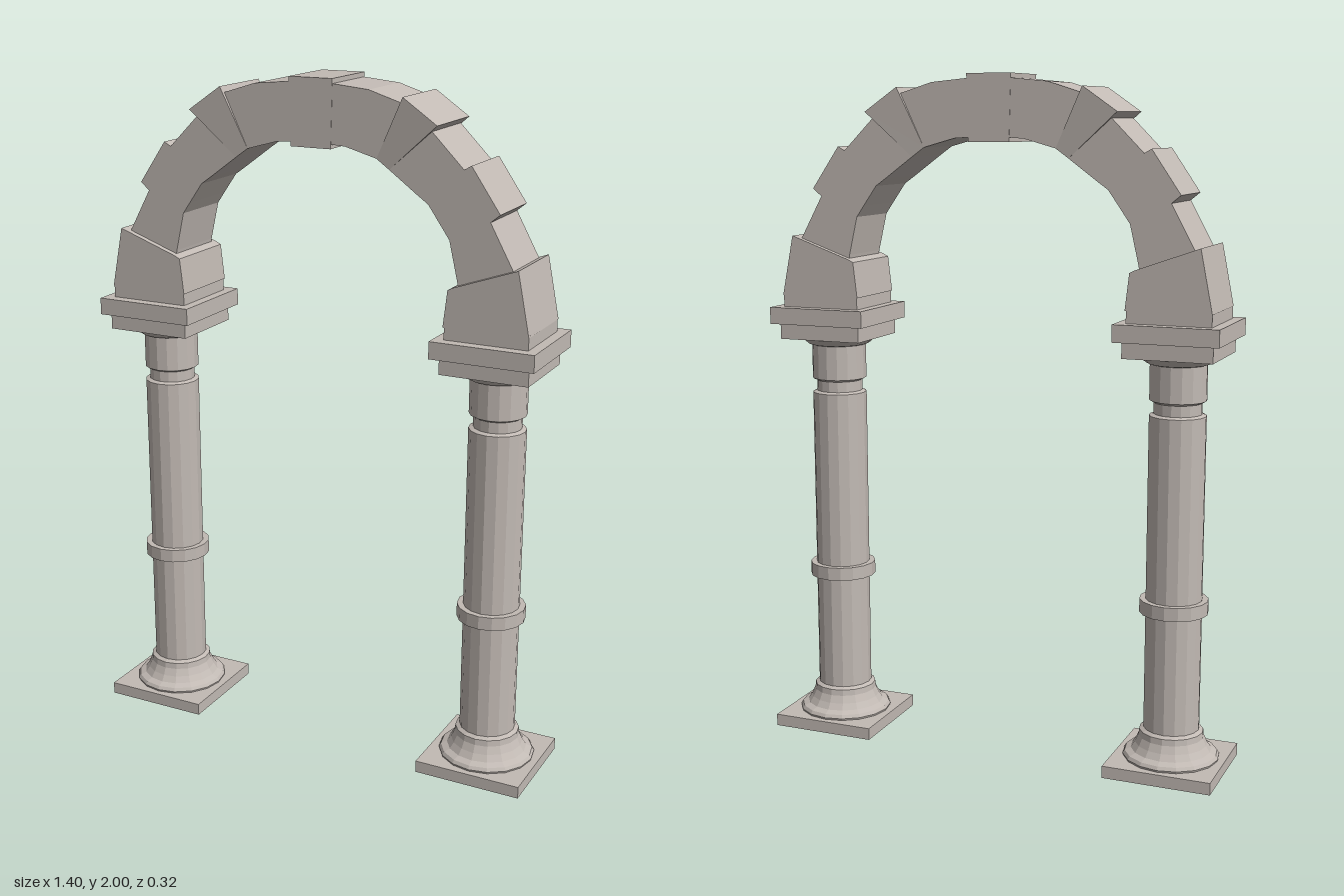
import * as THREE from 'three';

const stone = new THREE.MeshStandardMaterial({ color: 0xc2bab4, flatShading: true });
stone.name = 'paleStone';

const COLUMN_X = 0.537;

function add(parent, name, geometry, x = 0, y = 0) {
  const mesh = new THREE.Mesh(geometry, stone);
  mesh.name = name;
  mesh.position.set(x, y, 0);
  parent.add(mesh);
  return mesh;
}

// Prism with an outline in x and y, centred on z = 0; side mirrors x
function prism(points, side, halfDepth) {
  const shape = new THREE.Shape(points.map(([x, y]) => new THREE.Vector2(x * side, y)));
  const geometry = new THREE.ExtrudeGeometry(shape, { depth: halfDepth * 2, bevelEnabled: false });
  return geometry.translate(0, 0, -halfDepth);
}

function slab(parent, name, width, depth, y0, y1) {
  add(parent, name, new THREE.BoxGeometry(width, y1 - y0, depth), 0, (y0 + y1) / 2);
}

// Turned profile: foot moulding, shaft, neck groove and flared top
const columnProfile = [
  [0, 0.03], [0.138, 0.03], [0.142, 0.042], [0.136, 0.052], [0.118, 0.06], [0.106, 0.078],
  [0.096, 0.1], [0.094, 0.118], [0.082, 0.125], [0.082, 1.053], [0.069, 1.058], [0.069, 1.09],
  [0.082, 1.097], [0.082, 1.2], [0.092, 1.203], [0.118, 1.225], [0, 1.225],
].map(([r, y]) => new THREE.Vector2(r, y));

const ringProfile = [[0.078, 0.475], [0.1, 0.475], [0.1, 0.515], [0.078, 0.515]]
  .map(([r, y]) => new THREE.Vector2(r, y));

function makeColumn(side) {
  const column = new THREE.Group();
  column.name = side > 0 ? 'leftColumn' : 'rightColumn';
  column.position.x = COLUMN_X * side;
  slab(column, 'plinth', 0.322, 0.316, 0, 0.036);
  add(column, 'shaft', new THREE.LatheGeometry(columnProfile, 16));
  add(column, 'shaftRing', new THREE.LatheGeometry(ringProfile, 16));
  slab(column, 'lowerCapital', 0.26, 0.25, 1.223, 1.272);
  slab(column, 'upperCapital', 0.304, 0.295, 1.27, 1.32);
  slab(column, 'impostFoot', 0.244, 0.228, 1.315, 1.36);
  return column;
}

// Outlines of the arch stones for the +x half
const impost = [
  [0.66, 1.355], [0.624, 1.533], [0.44, 1.468], [0.424, 1.46], [0.412, 1.355],
];
const stones = [
  ['springer', [[0.637, 1.45], [0.603, 1.525], [0.534, 1.65], [0.395, 1.625], [0.418, 1.592], [0.444, 1.48], [0.455, 1.42]]],
  ['raisedStone', [[0.534, 1.65], [0.561, 1.672], [0.476, 1.795], [0.455, 1.783], [0.32, 1.707], [0.354, 1.683], [0.395, 1.625]]],
  ['plainStone', [[0.455, 1.783], [0.36, 1.878], [0.238, 1.767], [0.32, 1.707]]],
  ['crownStone', [[0.272, 1.946], [0.175, 1.976], [0.06, 1.987], [0.06, 1.823], [0.106, 1.82], [0.2, 1.794]]],
];
const wedge = [[0.381, 1.894], [0.28, 1.963], [0.2, 1.794], [0.238, 1.767]];

function makeArch() {
  const arch = new THREE.Group();
  arch.name = 'arch';
  for (const side of [-1, 1]) {
    add(arch, 'impost', prism(impost, side, 0.117));
    for (const [name, points] of stones) add(arch, name, prism(points, side, 0.098));

    // Wedge stone swells outwards from the inner curve to the outer one
    const geometry = prism(wedge, side, 0.098);
    const p = geometry.attributes.position;
    for (let i = 0; i < p.count; i++) {
      if (p.getY(i) > 1.85) p.setZ(i, Math.sign(p.getZ(i)) * 0.11);
    }
    geometry.computeVertexNormals();
    add(arch, 'wedgeStone', geometry);
  }
  // Keystone
  add(arch, 'keystone', prism([[-0.067, 2], [0.067, 2], [0.062, 1.81], [-0.062, 1.81]], 1, 0.099));
  return arch;
}

export function createModel() {
  const model = new THREE.Group();
  model.name = 'stoneArchway';
  model.add(makeColumn(1), makeColumn(-1), makeArch());
  return model;
}
